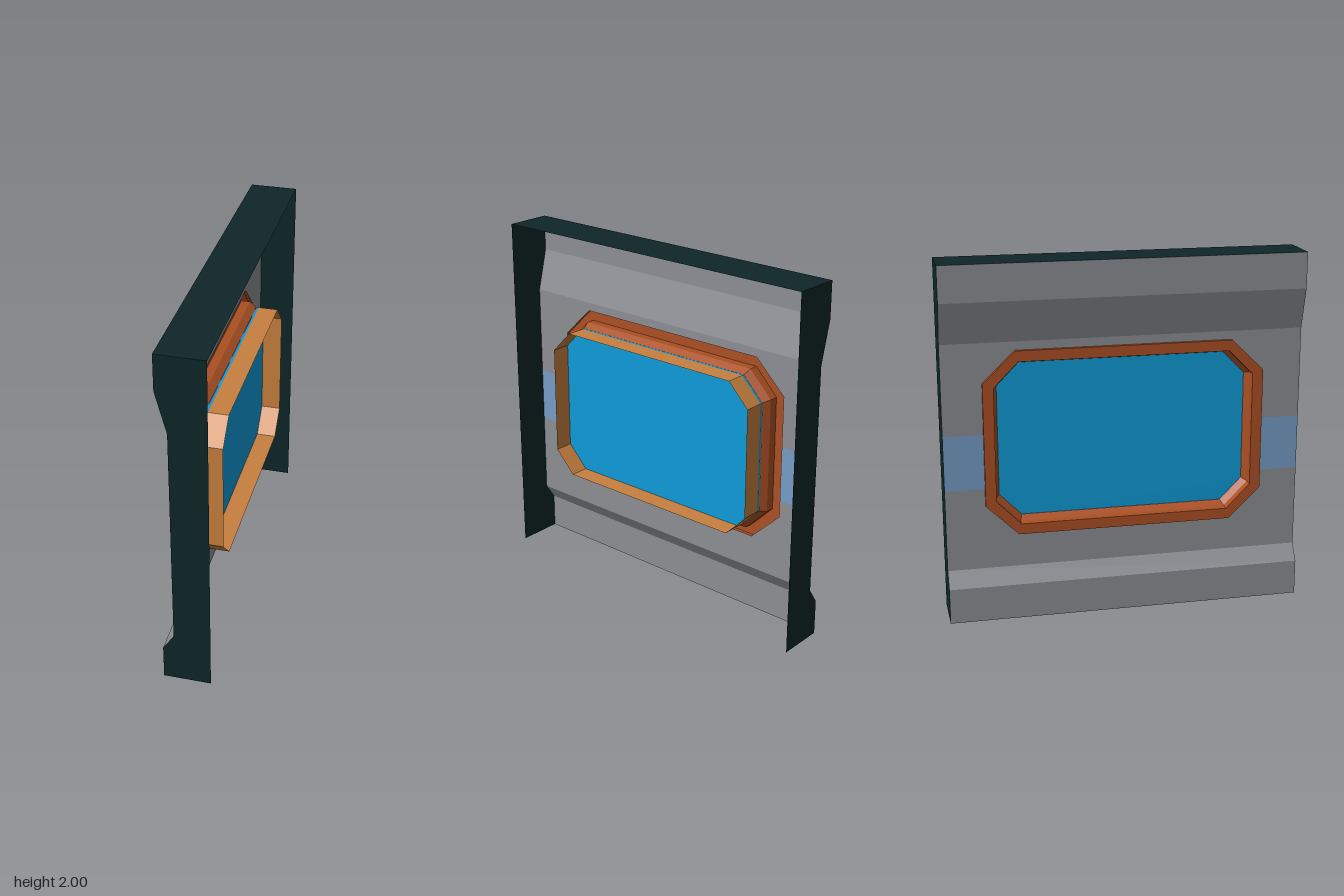
import * as THREE from 'three';

const MID = 1.0025; // height of the window centre

function material(name, color) {
  const m = new THREE.MeshStandardMaterial({ color, side: THREE.DoubleSide });
  m.name = name;
  return m;
}

// Corner-cut rectangle as [z, y] points: half width/height and where the cuts start
function octagon([w, h, cw, ch]) {
  return [[w, -ch], [w, ch], [cw, h], [-cw, h], [-w, ch], [-w, -ch], [-cw, -h], [cw, -h]]
    .map(([z, y]) => [z, y + MID]);
}

// Flat-shaded skin between successive rows of [x, y, z] points
function loft(rows, closed) {
  const pos = [];
  for (let r = 0; r < rows.length - 1; r++) {
    const a = rows[r], b = rows[r + 1], n = a.length;
    for (let i = 0; i < (closed ? n : n - 1); i++) {
      const j = (i + 1) % n;
      pos.push(...a[i], ...b[i], ...b[j], ...a[i], ...b[j], ...a[j]);
    }
  }
  const g = new THREE.BufferGeometry();
  g.setAttribute('position', new THREE.Float32BufferAttribute(pos, 3));
  g.computeVertexNormals();
  return g;
}

const shapeOf = (pts) => new THREE.Shape(pts.map(([a, b]) => new THREE.Vector2(a, b)));

// Flat sheet in the z-y plane at a given x, facing -x
function sheet(pts, x) {
  return new THREE.ShapeGeometry(shapeOf(pts)).rotateY(-Math.PI / 2).translate(x, 0, 0);
}

export function createModel() {
  const group = new THREE.Group();
  const dark = material('dark green casing', 0x0e2628);
  const grey = material('grey panel', 0x8c8f94);
  const stripeBlue = material('pale blue stripe', 0x769dc6);
  const orange = material('burnt orange frame', 0xab5023);
  const tan = material('tan liner', 0xc8803f);
  const glass = material('blue glass', 0x0f9bd8);
  const add = (name, geometry, mat) => {
    const mesh = new THREE.Mesh(geometry, mat);
    mesh.name = name;
    group.add(mesh);
    return mesh;
  };

  // Casing: two end caps and the top
  const profile = [[-0.13, 0], [0.13, 0], [0.13, 2], [-0.13, 2],
    [-0.13, 1.8], [-0.07, 1.57], [-0.07, 0.29], [-0.13, 0.2]];
  for (const side of [1, -1]) {
    add(side > 0 ? 'frontCap' : 'backCap', new THREE.ShapeGeometry(shapeOf(profile)), dark)
      .position.z = side;
  }
  const bar = (x, y) => [[x, y, -1], [x, y, 1]];
  add('top', loft([bar(0.13, 2), bar(-0.13, 2)].reverse()), dark);

  // Panel skin: upper and lower folds
  add('upperFold', loft([bar(-0.13, 2), bar(-0.13, 1.8), bar(-0.07, 1.57)]), grey);
  add('lowerFold', loft([bar(-0.07, 0.29), bar(-0.13, 0.2), bar(-0.13, 0)]), grey);

  // Recessed panel around the window, split by the stripe
  const outer = [0.78, 0.52, 0.6, 0.345];
  const rim = octagon(outer);
  const hi = 1.063, lo = 0.753;
  add('upperPanel', sheet([[1, hi], [1, 1.57], [-1, 1.57], [-1, hi], [-0.78, hi],
    rim[4], rim[3], rim[2], rim[1], [0.78, hi]], -0.07), grey);
  add('lowerPanel', sheet([[-1, lo], [-1, 0.29], [1, 0.29], [1, lo], [0.78, lo],
    rim[0], rim[7], rim[6], rim[5], [-0.78, lo]], -0.07), grey);
  for (const side of [1, -1]) {
    add(side > 0 ? 'frontStripe' : 'backStripe',
      sheet([[side * 0.78, lo], [side, lo], [side, hi], [side * 0.78, hi]], -0.07), stripeBlue);
  }

  // Window frame: raised lip, flat ring, reveal and bevel down to the glass
  const mid = [0.72, 0.46, 0.585, 0.322];
  const inner = [0.695, 0.436, 0.572, 0.31];
  const ring = (size, x) => octagon(size).map(([z, y]) => [x, y, z]);
  add('windowFrame', loft([ring(outer, -0.07), ring(outer, -0.09), ring(mid, -0.09),
    ring(mid, -0.04), ring(inner, 0)], true), orange);

  // Glass pane
  const pane = new THREE.ExtrudeGeometry(shapeOf(octagon(inner)), { depth: 0.014, bevelEnabled: false });
  add('windowPane', pane.rotateY(-Math.PI / 2).translate(0.015, 0, 0), glass);

  // Open liner behind the glass
  add('windowLiner', loft([ring(inner, 0.125), ring(inner, 0.015)].reverse(), true), tan);

  return group;
}
